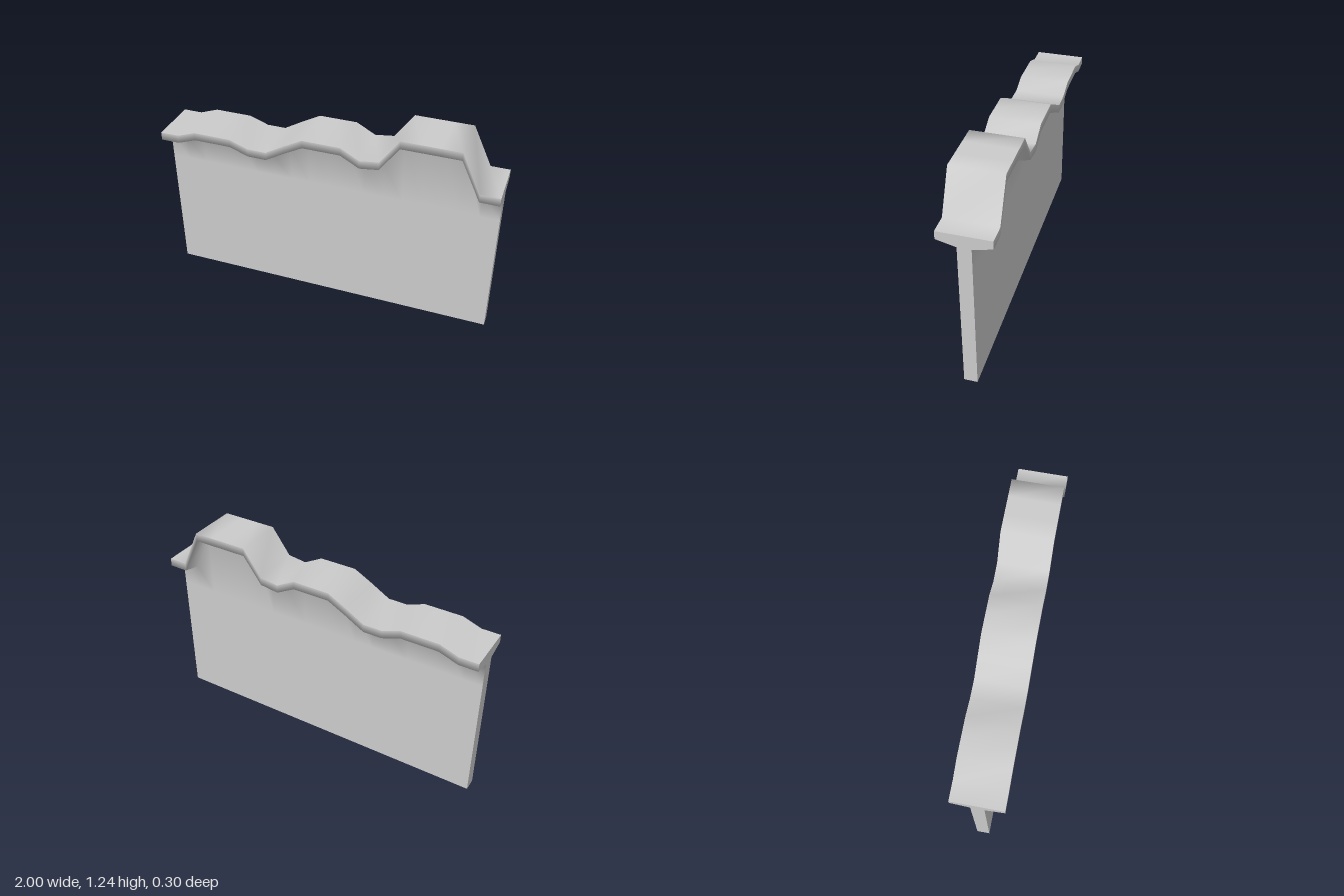
import * as THREE from 'three';

const CAP = 0.148;   // half depth of the coping
const WALL = 0.038;  // half depth of the wall
const LIP = 0.048;   // height of the coping's edge
const DROP = 0.075;  // top of coping down to the wall joint

// Ridge heights at 19 equal steps along x
const ridge = [1, 1, 1.04, 1.04, 1.04, 1, 1, 1.065, 1.125, 1.125, 1.125,
  1.065, 1.08, 1.235, 1.235, 1.235, 1.235, 1, 1];

// One side of the cross-section, from top to bottom, as [z, y]
const sideProfile = (h) => [
  [CAP, h], [CAP, h - LIP], [WALL, h - DROP], [WALL, 0.78], [WALL, 0],
];
const mirrored = (points) => points.map(([z, y]) => [-z, y]).reverse();

// Sweeps a cross-section along the ridge as one smooth surface
function sweep(profile) {
  const positions = [], index = [];
  let n = 0;
  ridge.forEach((h, j) => {
    const points = profile(h);
    n = points.length;
    for (const [z, y] of points) positions.push(-1 + (2 * j) / (ridge.length - 1), y, z);
  });
  for (let j = 0; j < ridge.length - 1; j++) {
    for (let i = 0; i < n - 1; i++) {
      const a = j * n + i, b = a + 1, d = a + n, c = d + 1;
      index.push(a, b, c, a, c, d);
    }
  }
  const geometry = new THREE.BufferGeometry();
  geometry.setAttribute('position', new THREE.Float32BufferAttribute(positions, 3));
  geometry.setIndex(index);
  geometry.computeVertexNormals();
  return geometry;
}

export function createModel() {
  const group = new THREE.Group();
  group.name = 'wallWithCoping';
  const material = new THREE.MeshStandardMaterial({ color: 0xcccccc });
  const add = (name, geometry) => {
    const mesh = new THREE.Mesh(geometry, material);
    mesh.name = name;
    group.add(mesh);
    return mesh;
  };

  // Long surfaces, with hard edges between them
  add('copingTop', sweep((h) => [[-CAP, h], [CAP, h]]));
  add('frontSide', sweep(sideProfile));
  add('backSide', sweep((h) => mirrored(sideProfile(h))));
  add('wallBase', sweep(() => [[WALL, 0], [-WALL, 0]]));

  // Flat T-shaped ends
  const outline = [...sideProfile(ridge[0]), ...mirrored(sideProfile(ridge[0]))];
  const endShape = new THREE.Shape(outline.map(([z, y]) => new THREE.Vector2(z, y)));
  for (const side of [-1, 1]) {
    const end = add(side > 0 ? 'leftEnd' : 'rightEnd', new THREE.ShapeGeometry(endShape));
    end.rotation.y = (side * Math.PI) / 2;
    end.position.x = side;
  }
  return group;
}
